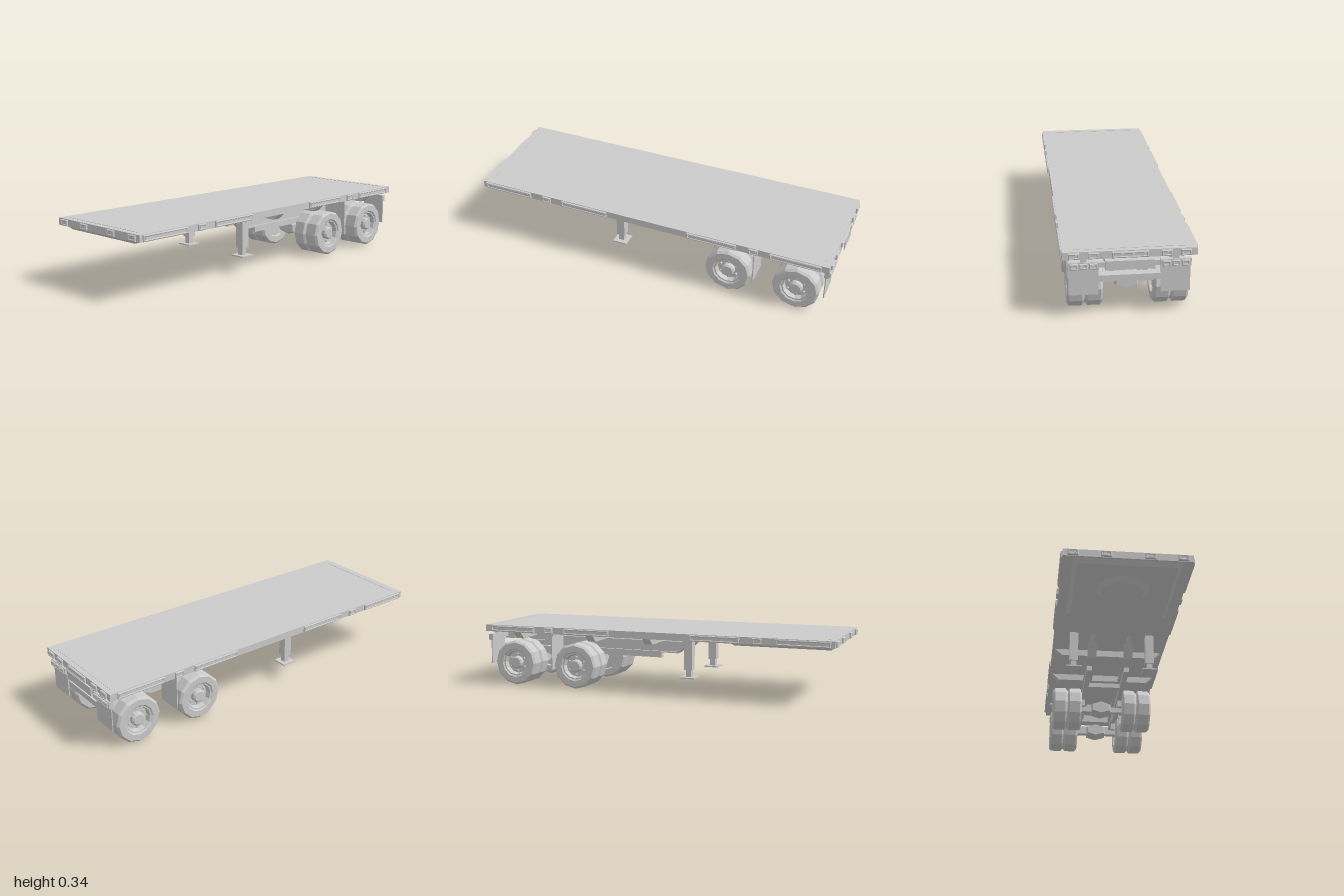
import * as THREE from 'three';

const mat = new THREE.MeshStandardMaterial({ color: 0xcccccc, flatShading: true, side: THREE.DoubleSide });

export function createModel() {
  const root = new THREE.Group();
  root.name = 'flatbedTrailer';

  const add = (name, geo, parent = root) => {
    const m = new THREE.Mesh(geo, mat);
    m.name = name;
    parent.add(m);
    return m;
  };
  // Box given by its limits on each axis
  const box = (name, x0, x1, y0, y1, z0, z1, parent) =>
    add(name, new THREE.BoxGeometry(x1 - x0, y1 - y0, z1 - z0)
      .translate((x0 + x1) / 2, (y0 + y1) / 2, (z0 + z1) / 2), parent);
  const shapeOf = pts => new THREE.Shape(pts.map(p => new THREE.Vector2(...p)));
  // Side profile of [z, y] points, with thickness along x
  const sideProfile = (name, pts, x, width) =>
    add(name, new THREE.ExtrudeGeometry(shapeOf(pts), { depth: width, bevelEnabled: false })
      .rotateY(-Math.PI / 2).translate(x + width / 2, 0, 0));
  // Front profile of [x, y] points, with thickness along z
  const frontProfile = (name, pts, z, depth) =>
    add(name, new THREE.ExtrudeGeometry(shapeOf(pts), { depth, bevelEnabled: false })
      .translate(0, 0, z - depth / 2));
  // Bevelled frame with a lens inside, facing +z
  const marker = (name, w, h, d) => {
    const g = new THREE.Group();
    g.name = name;
    const rect = (a, b) => [[-a, -b], [a, -b], [a, b], [-a, b]];
    const s = shapeOf(rect(w / 2 - 0.003, h / 2 - 0.003));
    s.holes.push(shapeOf(rect(w / 2 - 0.006, h / 2 - 0.006)));
    add('markerFrame', new THREE.ExtrudeGeometry(s, {
      depth: d - 0.003, bevelThickness: 0.003, bevelSize: 0.003, bevelSegments: 1,
    }), g);
    box('markerLens', -w / 2 + 0.01, w / 2 - 0.01, -h / 2 + 0.009, h / 2 - 0.009, 0, d * 0.8, g);
    root.add(g);
    return g;
  };

  // Deck and low ridges across its ends
  box('deck', -0.313, 0.313, 0.302, 0.339, -0.99, 0.99);
  for (const z of [-0.957, 0.952]) box('deckRidge', -0.265, 0.265, 0.338, 0.3405, z - 0.004, z + 0.004);

  // Markers along the sides
  for (const s of [-1, 1]) {
    for (const [z, len] of [[0.83, 0.28], [0.593, 0.05], [0.365, 0.27], [-0.365, 0.27], [-0.593, 0.05], [-0.815, 0.27]]) {
      const m = marker('sideMarker', len, 0.032, 0.01);
      m.position.set(s * 0.312, 0.32, z);
      m.rotation.y = s * Math.PI / 2;
    }
  }
  // Markers on the front and rear edges
  for (const x of [-0.263, -0.105, 0.105, 0.263])
    marker('frontMarker', 0.052, 0.03, 0.012).position.set(x, 0.32, 0.988);
  for (const [x, w] of [[-0.26, 0.05], [-0.17, 0.05], [0, 0.17], [0.17, 0.05], [0.26, 0.05]]) {
    const m = marker('rearMarker', w, 0.03, 0.012);
    m.position.set(x, 0.32, -0.988);
    m.rotation.y = Math.PI;
  }

  // Tapered coupling plate and octagonal pad under the nose
  const plate = new THREE.BoxGeometry(0.53, 0.02, 0.55);
  const p = plate.attributes.position;
  for (let i = 0; i < p.count; i++)
    if (p.getY(i) < 0) p.setXYZ(i, p.getX(i) * 0.91, p.getY(i), p.getZ(i) * 0.92);
  add('couplingPlate', plate.translate(0, 0.293, 0.705));
  add('couplingPad', new THREE.CylinderGeometry(0.14, 0.108, 0.022, 8)
    .rotateY(Math.PI / 8).translate(0, 0.274, 0.73));

  // Outriggers under the deck
  for (const z of [-0.02, -0.355, -0.8])
    frontProfile('outrigger', [[-0.3, 0.303], [-0.26, 0.266], [0.26, 0.266], [0.3, 0.303]], z, 0.045);

  for (const s of [-1, 1]) {
    // Chassis rails
    sideProfile('chassisRail', [[0.2, 0.303], [0.165, 0.27], [0.1, 0.206], [-0.62, 0.206], [-0.73, 0.24],
      [-0.97, 0.24], [-0.97, 0.282], [-0.71, 0.282], [-0.63, 0.268], [0.12, 0.268], [0.14, 0.303]], s * 0.1, 0.022);
    sideProfile('railFlange', [[0.165, 0.272], [0.1, 0.206], [-0.62, 0.206], [-0.62, 0.212], [0.097, 0.212], [0.158, 0.272]],
      s * 0.1, 0.05);
    sideProfile('lowerRail', [[0, 0.206], [0, 0.177], [-0.53, 0.177], [-0.57, 0.14], [-0.64, 0.14], [-0.73, 0.177],
      [-0.96, 0.177], [-0.96, 0.206]], s * 0.105, 0.028);

    // Landing legs
    const x = s * 0.206;
    box('landingLeg', x - 0.023, x + 0.023, 0.135, 0.303, 0.17, 0.215);
    box('landingLegInner', x - 0.015, x + 0.015, 0.095, 0.14, 0.178, 0.208);
    box('landingFoot', x - 0.04, x + 0.04, 0.09, 0.097, 0.153, 0.233);

    // Mudflaps, each hung from a bar
    const a = s * 0.215;
    box('frontMudflap', a - 0.07, a + 0.07, 0.1, 0.29, -0.592, -0.587);
    box('frontMudflapBar', a - 0.07, a + 0.07, 0.285, 0.304, -0.6, -0.58);
    box('rearMudflap', a - 0.07, a + 0.07, 0.115, 0.27, -0.973, -0.968);

    // Rear lamp clusters with three lamps
    box('rearLampBar', a - 0.072, a + 0.072, 0.247, 0.283, -0.985, -0.962);
    box('rearLampBracket', a - 0.015, a + 0.015, 0.28, 0.304, -0.982, -0.965);
    for (const dx of [-0.045, 0, 0.045]) {
      const m = marker('rearLamp', 0.038, 0.028, 0.01);
      m.position.set(a + dx, 0.265, -0.984);
      m.rotation.y = Math.PI;
    }
  }

  // Rear box, bumper and cross ties
  box('rearBox', -0.115, 0.115, 0.24, 0.285, -0.985, -0.92);
  box('rearBumper', -0.145, 0.145, 0.175, 0.206, -0.965, -0.92);
  box('lampTie', -0.15, 0.15, 0.252, 0.276, -0.975, -0.962);
  for (const z of [-0.25, -0.62]) box('crossTie', -0.1, 0.1, 0.18, 0.206, z - 0.02, z + 0.02);

  // Twin tyres, recessed rim and hub turned as one profile of [radius, offset]
  const wheelGeo = new THREE.LatheGeometry([
    [0, -0.07], [0.075, -0.07], [0.08, -0.084], [0.115, -0.084], [0.126, -0.073], [0.126, -0.013],
    [0.112, -0.002], [0.112, 0.002], [0.126, 0.013], [0.126, 0.073], [0.115, 0.084], [0.082, 0.084],
    [0.075, 0.078], [0.068, 0.078], [0.062, 0.052], [0.036, 0.052], [0.036, 0.073], [0.028, 0.08], [0, 0.08],
  ].map(q => new THREE.Vector2(...q)), 12);
  const nutGeo = new THREE.CylinderGeometry(0.006, 0.006, 0.014, 6);

  for (const z of [-0.45, -0.82]) {
    // Axle and its central housing
    box('axle', -0.2, 0.2, 0.11, 0.14, z - 0.016, z + 0.016);
    const hex = shapeOf([[-0.05, 0.108], [0, 0.093], [0.05, 0.108], [0.05, 0.147], [0, 0.164], [-0.05, 0.147]]);
    add('axleHousing', new THREE.ExtrudeGeometry(hex, {
      depth: 0.05, bevelThickness: 0.025, bevelSize: 0.007, bevelSegments: 1,
    }).translate(0, 0, z - 0.025));

    for (const s of [-1, 1]) {
      // Suspension hanger
      box('suspensionHanger', s * 0.11 - 0.012, s * 0.11 + 0.012, 0.138, 0.18, z - 0.04, z + 0.04);

      const wheel = new THREE.Group();
      wheel.name = 'wheel';
      add('twinTyres', wheelGeo, wheel);
      for (let i = 0; i < 6; i++) {
        const t = i * Math.PI / 3;
        add('wheelNut', nutGeo, wheel).position.set(0.049 * Math.cos(t), 0.057, 0.049 * Math.sin(t));
      }
      wheel.rotation.z = -s * Math.PI / 2;
      wheel.position.set(s * 0.204, 0.126, z);
      root.add(wheel);
    }
  }
  return root;
}
